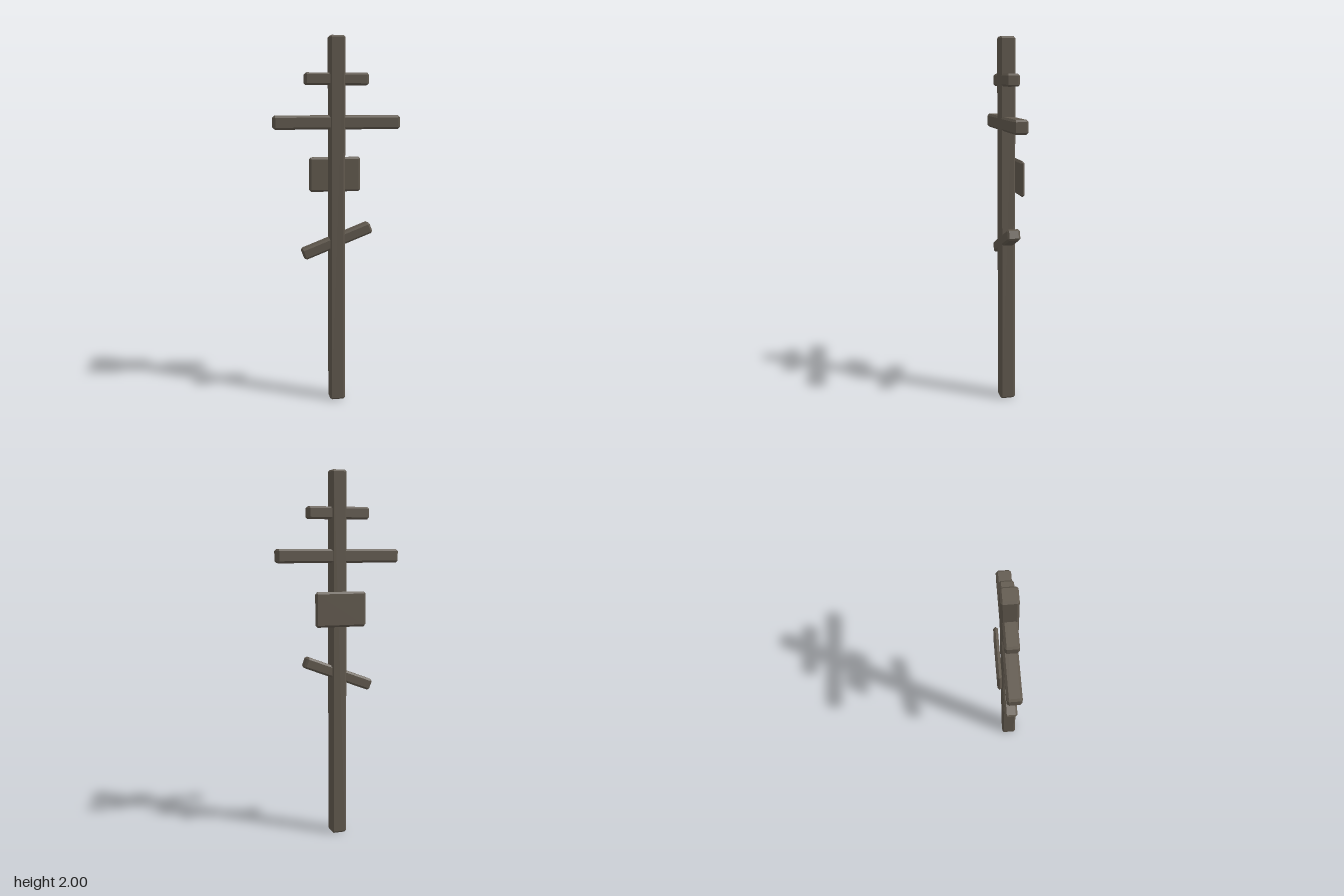
import * as THREE from 'three';
import { ConvexGeometry } from 'three/addons/geometries/ConvexGeometry.js';

// Box with every edge chamfered by c: three inset points at each corner
function chamferedBox(w, h, d, c) {
  const points = [];
  for (const x of [-1, 1]) for (const y of [-1, 1]) for (const z of [-1, 1]) {
    for (let axis = 0; axis < 3; axis++) {
      const inset = [c, c, c];
      inset[axis] = 0;
      points.push(new THREE.Vector3(
        x * (w / 2 - inset[0]), y * (h / 2 - inset[1]), z * (d / 2 - inset[2])));
    }
  }
  return new ConvexGeometry(points);
}

export function createModel() {
  const model = new THREE.Group();
  model.name = 'cross';
  const wood = new THREE.MeshStandardMaterial({ color: 0x60584d, flatShading: true });
  wood.name = 'weatheredWood';

  function beam(name, size, chamfer, position, tilt = 0) {
    const mesh = new THREE.Mesh(chamferedBox(...size, chamfer), wood);
    mesh.name = name;
    mesh.position.set(...position);
    mesh.rotation.z = tilt;
    model.add(mesh);
  }

  // Upright and its three crossbars
  beam('post', [0.084, 2, 0.084], 0.01, [0, 1, 0.0125]);
  beam('topBar', [0.342, 0.066, 0.07], 0.01, [-0.001, 1.775, 0.0125]);
  beam('mainBar', [0.684, 0.074, 0.076], 0.011, [0, 1.547, 0.0115]);
  beam('slantedBar', [0.4, 0.062, 0.07], 0.01, [0, 0.905, 0.0125], 0.368);

  // Thin plaque behind the post
  beam('backPlaque', [0.284, 0.19, 0.024], 0.0112, [0, 1.262, -0.0455]);

  return model;
}
